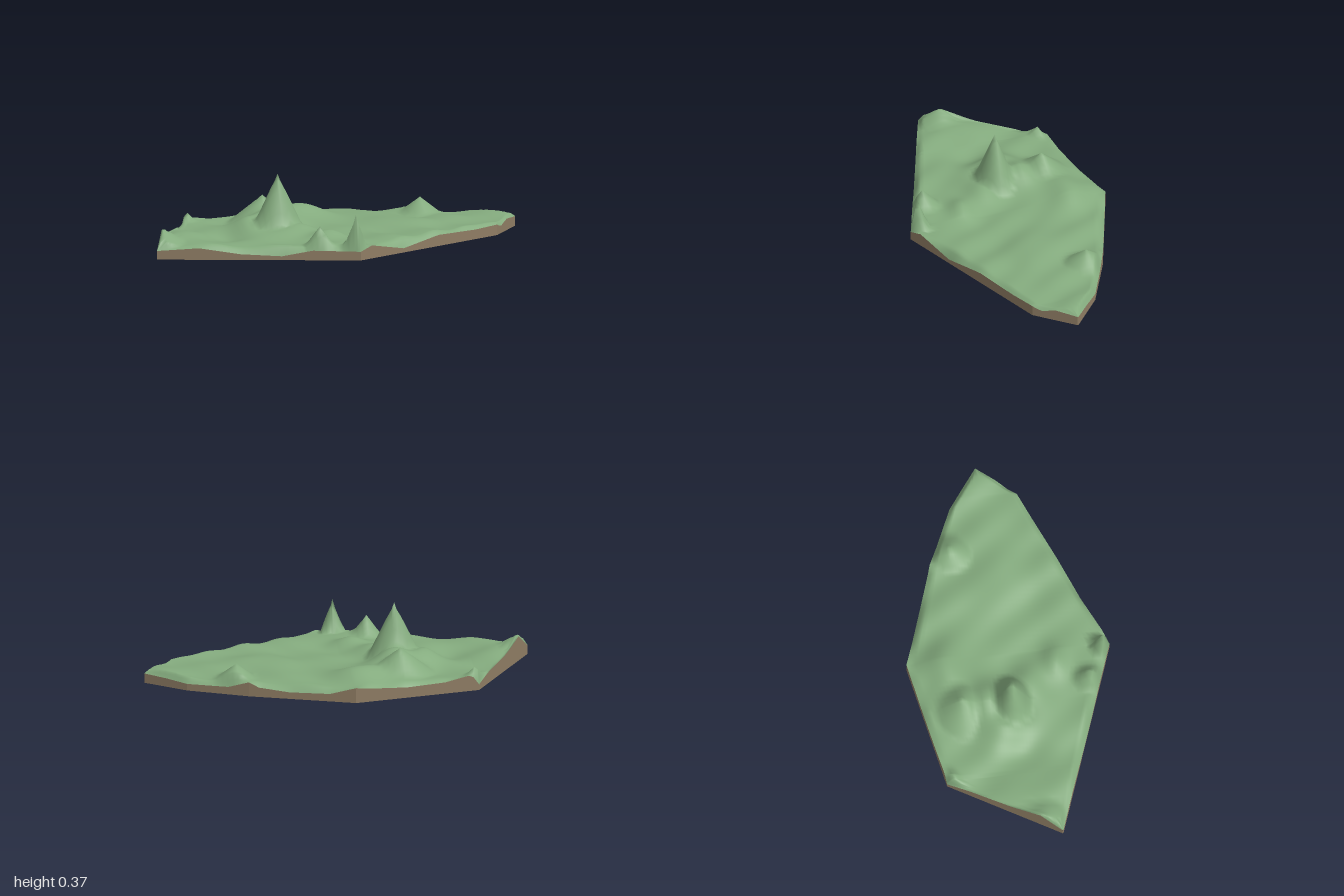
import * as THREE from 'three';

// Slab outline as [x, z], from the left tip to the right tip
const backLine = [[-1, 0.168], [-0.68, -0.39], [-0.03, -0.525], [0.5, -0.345], [0.8, -0.21], [1, -0.057]];
const frontLine = [[-1, 0.172], [-0.02, 0.52], [0.84, 0.14], [1, -0.053]];

// Height of the slab's upper edge as [x, y]
const backRim = [[-1, 0.045], [-0.94, 0.13], [-0.86, 0.085], [-0.74, 0.06], [-0.68, 0.03], [-0.64, 0.085],
  [-0.5, 0.06], [-0.3, 0.055], [-0.1, 0.07], [-0.03, 0.08], [0.1, 0.04], [0.3, 0.035], [0.45, 0.05],
  [0.5, 0.075], [0.6, 0.04], [0.8, 0.035], [0.9, 0.045], [1, 0.05]];
const frontRim = [[-1, 0.045], [-0.8, 0.06], [-0.6, 0.03], [-0.4, 0.02], [-0.25, 0.05], [-0.02, 0.045],
  [0.05, 0.068], [0.25, 0.022], [0.47, 0.058], [0.7, 0.05], [0.84, 0.055], [0.87, 0.035], [0.92, 0.06], [1, 0.05]];

// Sharp peaks [x, z, height, slopeX, slopeZ]
const peaks = [[-0.29, -0.015, 0.365, 2.1, 2.7], [-0.035, 0.485, 0.232, 2.7, 2.6], [-0.2, 0.4, 0.167, 1.4, 1.1],
  [-0.29, -0.265, 0.205, 0.8, 0.9], [0.55, -0.24, 0.145, 0.8, 0.7], [-0.94, 0.07, 0.142, 0.6, 0.6],
  [-0.66, -0.36, 0.115, 0.9, 0.9]];
// Rounded hills [x, z, rise, radiusX, radiusZ]
const hills = [[-0.43, -0.07, 0.06, 0.08, 0.12], [-0.27, -0.14, 0.085, 0.12, 0.11], [-0.1, -0.33, 0.07, 0.17, 0.1],
  [-0.24, 0.08, 0.045, 0.12, 0.09], [-0.1, 0.23, 0.042, 0.1, 0.06], [0.3, -0.1, 0.02, 0.15, 0.12],
  [0.45, 0.05, 0.015, 0.12, 0.1], [-0.82, 0.02, 0.025, 0.1, 0.12], [-0.58, 0.05, -0.02, 0.09, 0.12],
  [0.12, 0.1, -0.012, 0.15, 0.12]];

function sample(line, x) {
  let i = 1;
  while (i < line.length - 1 && x > line[i][0]) i++;
  const [x0, v0] = line[i - 1];
  const [x1, v1] = line[i];
  return v0 + ((v1 - v0) * (x - x0)) / (x1 - x0);
}

function landHeight(x, z) {
  let h = 0.067 + 0.008 * Math.sin(x * 13 + z * 7) * Math.cos(z * 15 - x * 9)
    + 0.004 * Math.sin(x * 27 - z * 19 + 1);
  for (const [px, pz, rise, rx, rz] of hills) {
    h += rise * Math.exp(-(((x - px) / rx) ** 2) - ((z - pz) / rz) ** 2);
  }
  for (const [px, pz, top, sx, sz] of peaks) {
    h = Math.max(h, top - Math.hypot(sx * (x - px), sz * (z - pz)));
  }
  return h;
}

// Columns run across x; each one spans from the back edge to the front edge
const xs = [...new Set([
  ...Array.from({ length: 81 }, (_, i) => -1 + i / 40),
  ...[...backLine, ...frontLine, ...peaks].map((p) => p[0]),
].map((x) => +x.toFixed(4)))].sort((a, b) => a - b);
const ROWS = 44;

function makeGeometry(points, faces) {
  const g = new THREE.BufferGeometry();
  g.setAttribute('position', new THREE.Float32BufferAttribute(points.flat(), 3));
  g.setIndex(faces);
  return g;
}

export function createModel() {
  const group = new THREE.Group();
  group.name = 'terrainSlab';
  const grass = new THREE.MeshStandardMaterial({ name: 'grass green', color: 0x84ab7e });
  const earth = new THREE.MeshStandardMaterial({ name: 'earth brown', color: 0x8f7d64 });

  // Land surface, with the nearest grid point moved onto each summit
  const points = [];
  const faces = [];
  xs.forEach((x, i) => {
    const zb = sample(backLine, x);
    const zf = sample(frontLine, x);
    const step = (zf - zb) / ROWS;
    for (let j = 0; j <= ROWS; j++) {
      let z = zb + step * j;
      const inner = j > 0 && j < ROWS;
      const summit = peaks.find((p) => p[0] === x && Math.abs(p[1] - z) <= step / 2);
      if (summit && inner) z = summit[1];
      const rim = sample(j < ROWS / 2 ? backRim : frontRim, x);
      const blend = Math.min(1, Math.min(z - zb, zf - z) / 0.025);
      points.push([x, inner ? rim + (landHeight(x, z) - rim) * blend : rim, z]);
      if (i < xs.length - 1 && j < ROWS) {
        const a = i * (ROWS + 1) + j;
        const c = a + ROWS + 1;
        faces.push(a, a + 1, c, a + 1, c + 1, c);
      }
    }
  });
  const landGeometry = makeGeometry(points, faces);
  landGeometry.computeVertexNormals();
  const land = new THREE.Mesh(landGeometry, grass);
  land.name = 'land';
  group.add(land);

  // Cut earth sides, walked around the rim
  const back = xs.map((_, i) => points[i * (ROWS + 1)]);
  const front = xs.map((_, i) => points[i * (ROWS + 1) + ROWS]);
  const rim = [...back, ...[...front].reverse()];
  const wallPoints = [];
  const wallFaces = [];
  rim.forEach(([x, y, z], i) => {
    wallPoints.push([x, 0, z], [x, y, z]);
    const p = i * 2;
    const q = ((i + 1) % rim.length) * 2;
    wallFaces.push(p, p + 1, q, p + 1, q + 1, q);
  });
  const wallGeometry = makeGeometry(wallPoints, wallFaces).toNonIndexed();
  wallGeometry.computeVertexNormals();
  const sides = new THREE.Mesh(wallGeometry, earth);
  sides.name = 'earthSides';
  group.add(sides);

  // Flat underside
  const basePoints = [];
  const baseFaces = [];
  xs.forEach((x, i) => {
    basePoints.push([x, 0, back[i][2]], [x, 0, front[i][2]]);
    if (i < xs.length - 1) {
      const a = i * 2;
      baseFaces.push(a, a + 2, a + 1, a + 1, a + 2, a + 3);
    }
  });
  const baseGeometry = makeGeometry(basePoints, baseFaces);
  baseGeometry.computeVertexNormals();
  const underside = new THREE.Mesh(baseGeometry, earth);
  underside.name = 'underside';
  group.add(underside);

  return group;
}
